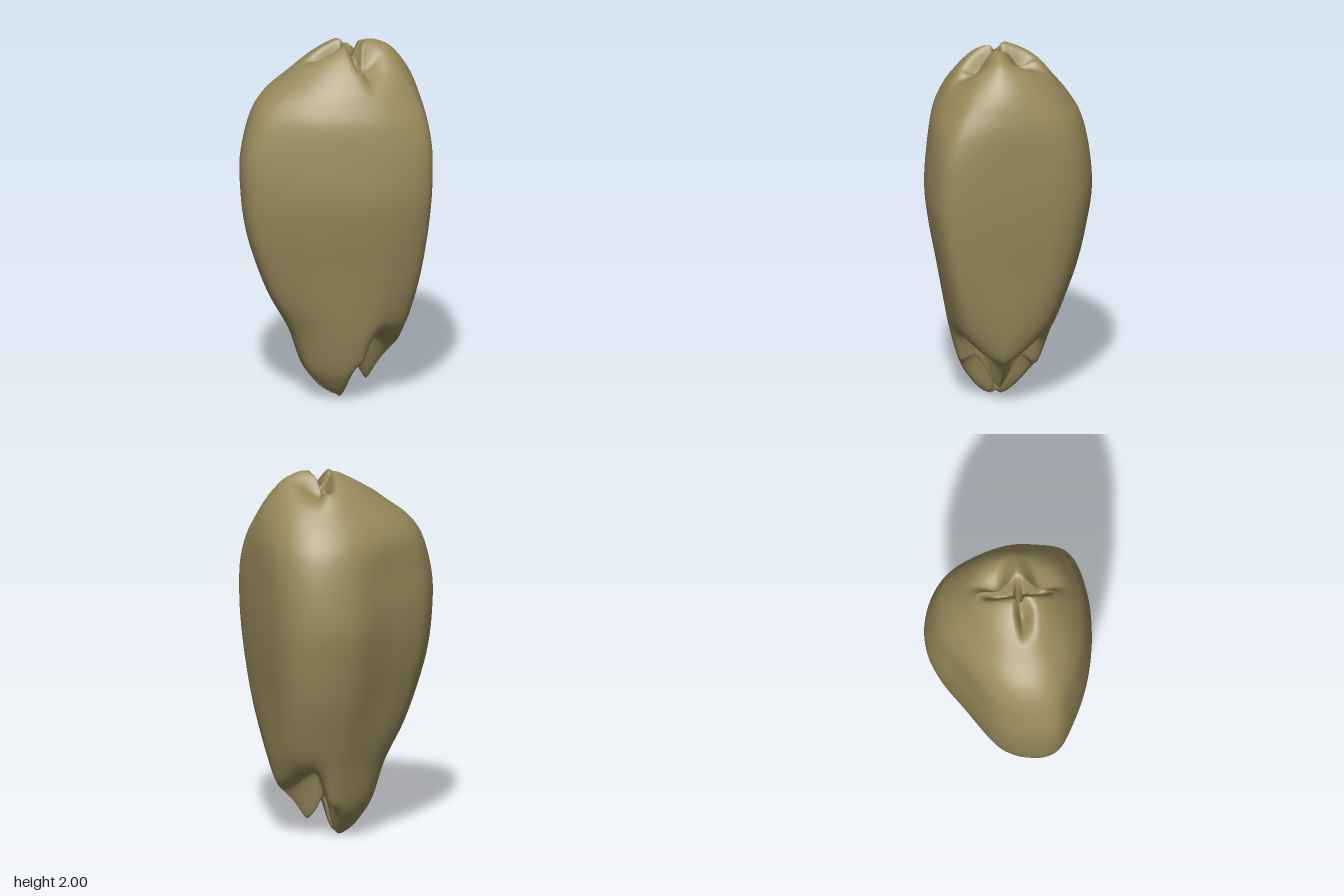
import * as THREE from 'three';

const CX = 0.12, CZ = 0.05; // axis of the central channel

// Rounded triangular plan of the body at its widest (x, z)
const PLAN = [
  [-.505, .13], [-.47, .22], [-.35, .3], [-.23, .36], [-.1, .405], [.05, .437], [.2, .45],
  [.3, .445], [.4, .425], [.47, .39], [.5, .33], [.505, .2], [.49, 0], [.47, -.15],
  [.45, -.25], [.41, -.34], [.35, -.4], [.27, -.44], [.18, -.455], [.08, -.445], [0, -.41],
  [-.09, -.35], [-.18, -.29], [-.3, -.218], [-.4, -.145], [-.46, -.06], [-.49, .02],
];

// Rings up the outside, then back down the channel: y, xMin, xMax, zMin, zMax
const RINGS = [
  [-.005, .025, .2, -.005, .095], [.03, -.04, .255, -.06, .15], [.1, -.1, .32, -.12, .205],
  [.2, -.16, .37, -.175, .255], [.4, -.23, .41, -.24, .31], [.6, -.34, .44, -.31, .35],
  [.8, -.42, .462, -.375, .387], [1, -.477, .485, -.42, .425], [1.2, -.502, .5, -.45, .45],
  [1.4, -.502, .505, -.44, .44], [1.6, -.45, .5, -.4, .41], [1.72, -.37, .475, -.335, .36],
  [1.82, -.24, .435, -.255, .3], [1.91, -.12, .375, -.18, .23], [1.97, -.02, .315, -.1, .165],
  [2, .04, .23, -.015, .105],
  [1.97, .06, .175, .02, .075], [1.85, .045, .165, .03, .066], [1.6, .045, .165, .035, .066],
  [1, .045, .165, .035, .066], [.4, .045, .165, .035, .066], [.15, .045, .165, .03, .066],
  [.03, .055, .17, .025, .075],
];

// Creases split each end into three lobes. Each fans out from the channel in a direction,
// has a depth, a width on either side, and fades in and out along its length.
const crease = (x, z, depth, leftWidth, rightWidth, start, reach) => {
  const l = Math.hypot(x, z);
  return { x: x / l, z: z / l, depth, leftWidth, rightWidth, start, reach };
};
const mirrored = (x, z, ...rest) => [crease(x, z, ...rest), crease(x, -z, ...rest)];
const TOP = [
  crease(-1, 0, .1, .025, .05, .02, .3),
  ...mirrored(.1, 1, .13, .035, .035, -.03, .24),
  crease(.25, 1, .11, .04, .12, .03, .32), crease(.4, -1, .11, .04, .12, .03, .32),
];
const BOTTOM = [
  crease(-1, 0, .1, .025, .05, .05, .36),
  ...mirrored(.05, 1, .22, .045, .045, -.06, .24),
  ...mirrored(.5, .9, .25, .07, .16, .03, .38),
];

const smooth = THREE.MathUtils.smoothstep;

// Deepest crease at a plan position
function creaseDepth(x, z, creases) {
  const dx = x - CX, dz = z - CZ;
  return Math.max(...creases.map((c) => {
    const along = dx * c.x + dz * c.z;
    const across = (dx * c.z - dz * c.x) * (c.z < 0 ? -1 : 1);
    const width = across > 0 ? c.rightWidth : c.leftWidth;
    return c.depth * Math.exp(-((across / width) ** 2))
      * smooth(along, c.start, c.start + .1) * (1 - smooth(along, .1, c.reach));
  }));
}

function createShellGeometry(rows, cols) {
  const loop = (pts) => new THREE.CatmullRomCurve3(pts, true, 'catmullrom', .5);
  const xCurve = loop(RINGS.map((r) => new THREE.Vector3(r[1], r[0], r[2])));
  const zCurve = loop(RINGS.map((r) => new THREE.Vector3(r[3], r[0], r[4])));
  const plan = loop(PLAN.map(([x, z]) => new THREE.Vector3(x, 0, z))).getSpacedPoints(cols);
  const positions = [], index = [];

  for (let i = 0; i < rows; i++) {
    const xr = xCurve.getPoint(i / rows), zr = zCurve.getPoint(i / rows);
    const top = smooth(xr.y, 1.5, 1.93), low = 1 - smooth(xr.y, .12, .75);
    const roundness = .85 * Math.max(smooth(xr.y, 1.4, 1.92), 1 - smooth(xr.y, .15, .85));
    for (let j = 0; j < cols; j++) {
      // Unit plan, rounded off towards both ends, fitted to the extents of this ring
      let u = (plan[j].x - CX) / (plan[j].x < CX ? CX + .505 : .505 - CX);
      let v = (plan[j].z - CZ) / (plan[j].z < CZ ? CZ + .455 : .45 - CZ);
      const k = THREE.MathUtils.lerp(1, 1 / Math.hypot(u, v), roundness);
      u *= k;
      v *= k;
      const x = CX + u * (u < 0 ? CX - xr.x : xr.z - CX);
      const z = CZ + v * (v < 0 ? CZ - zr.x : zr.z - CZ);
      // Lobed ends; the lower lobe at +x is shorter
      let y = xr.y;
      y -= top * creaseDepth(x, z, TOP);
      y += low * creaseDepth(x, z, BOTTOM);
      y += .085 * smooth(x, CX, CX + .07) * (1 - smooth(xr.y, 0, .5));
      positions.push(x, y, z);

      const i2 = (i + 1) % rows, j2 = (j + 1) % cols;
      const a = i * cols + j, b = i * cols + j2, c = i2 * cols + j, d = i2 * cols + j2;
      index.push(a, b, c, b, d, c);
    }
  }
  const geometry = new THREE.BufferGeometry();
  geometry.setAttribute('position', new THREE.Float32BufferAttribute(positions, 3));
  geometry.setIndex(index);
  geometry.computeVertexNormals();
  return geometry;
}

export function createModel() {
  const group = new THREE.Group();
  group.name = 'lobedPod';
  const olive = new THREE.MeshStandardMaterial({ color: 0x998b5c });
  olive.name = 'olive';
  const shell = new THREE.Mesh(createShellGeometry(161, 280), olive);
  shell.name = 'podShell';
  group.add(shell);
  return group;
}
